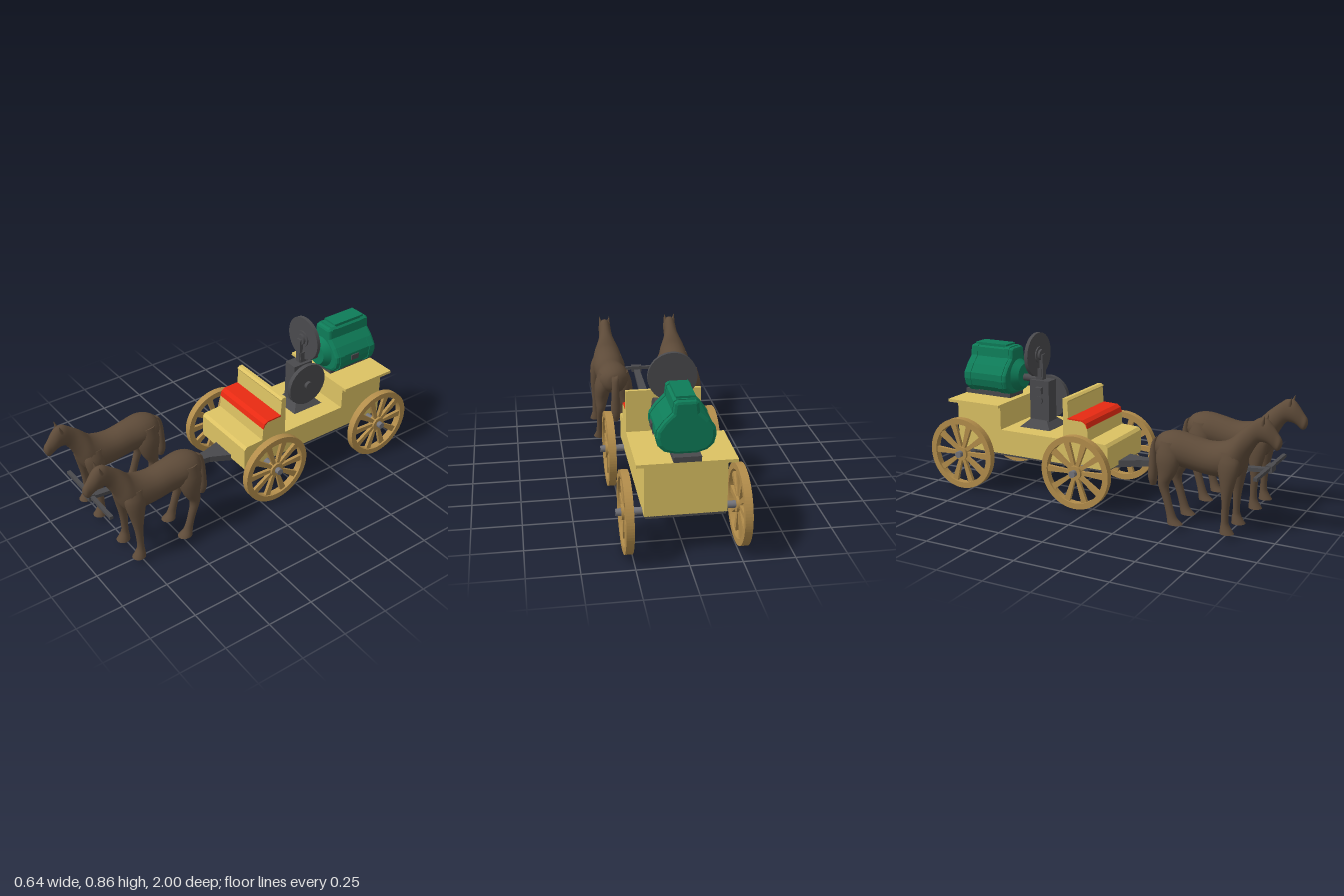
import * as THREE from 'three';

const mat = (name, color) => Object.assign(new THREE.MeshStandardMaterial({ color }), { name });

export function createModel() {
  const root = new THREE.Group();
  const paint = mat('cream paint', 0xdcc263), wood = mat('wheel wood', 0xb38d4b), coat = mat('brown coat', 0x5e4b39);
  const iron = mat('dark iron', 0x4a4a4d), steel = mat('axle steel', 0x74747a);
  const green = mat('motor green', 0x0e7c58), red = mat('seat red', 0xe82a12);

  const add = (name, geo, m, parent = root) => {
    const mesh = new THREE.Mesh(geo, m);
    mesh.name = name;
    parent.add(mesh);
    return mesh;
  };
  // Box from min and max corners
  const box = (name, a, b, m, parent) => {
    const g = new THREE.BoxGeometry(b[0] - a[0], b[1] - a[1], b[2] - a[2]);
    g.translate((a[0] + b[0]) / 2, (a[1] + b[1]) / 2, (a[2] + b[2]) / 2);
    return add(name, g, m, parent);
  };
  // Cylinder along the x or z axis
  const rod = (name, axis, r, len, x, y, z, m, parent, r2 = r) => {
    const g = new THREE.CylinderGeometry(r, r2, len, 40);
    if (axis === 'x') g.rotateZ(-Math.PI / 2);
    else g.rotateX(Math.PI / 2);
    return add(name, g.translate(x, y, z), m, parent);
  };
  const shapeOf = pts => new THREE.Shape(pts.map(p => new THREE.Vector2(...p)));
  // Side profile in (z, y), extruded across x
  const across = (pts, width) => new THREE.ExtrudeGeometry(shapeOf(pts), { depth: width, bevelEnabled: false })
    .rotateY(-Math.PI / 2).translate(width / 2, 0, 0);

  // Smooth loft through elliptic sections: [z1, y1, z2, y2, halfWidth, centreX]
  function loft(rows, sub = 3, n = 20) {
    const c1 = new THREE.CatmullRomCurve3(rows.map(r => new THREE.Vector3(r[5] || 0, r[1], r[0])));
    const c2 = new THREE.CatmullRomCurve3(rows.map(r => new THREE.Vector3(r[4], r[3], r[2])));
    const steps = (rows.length - 1) * sub, pos = [], idx = [];
    for (let k = 0; k <= steps; k++) {
      const a = c1.getPoint(k / steps), b = c2.getPoint(k / steps);
      for (let i = 0; i < n; i++) {
        const t = i / n * Math.PI * 2, c = Math.cos(t) / 2;
        pos.push(a.x + b.x * Math.sin(t), (a.y + b.y) / 2 + (a.y - b.y) * c, (a.z + b.z) / 2 + (a.z - b.z) * c);
        if (k < steps) {
          const p = k * n + i, q = k * n + (i + 1) % n;
          idx.push(p, p + n, q, q, p + n, q + n);
        }
      }
    }
    // End caps with their own rings so the edges stay crisp
    for (const k of [0, steps]) {
      const base = pos.length / 3;
      pos.push(...pos.slice(k * n * 3, (k + 1) * n * 3));
      for (let i = 1; i < n - 1; i++) idx.push(base, base + (k ? i + 1 : i), base + (k ? i : i + 1));
    }
    const g = new THREE.BufferGeometry();
    g.setAttribute('position', new THREE.Float32BufferAttribute(pos, 3));
    g.setIndex(idx);
    g.computeVertexNormals();
    return g;
  }

  // Cart body with footboard, seat and rear box in one side profile
  add('cartBody', across([[0.06, 0.205], [0.06, 0.33], [0.045, 0.345], [-0.055, 0.35], [-0.06, 0.42], [-0.07, 0.441],
    [-0.09, 0.453], [-0.172, 0.455], [-0.178, 0.545], [-0.172, 0.555], [-0.185, 0.565], [-0.205, 0.565], [-0.205, 0.34],
    [-0.6, 0.34], [-0.6, 0.47], [-0.88, 0.47], [-0.88, 0.205]], 0.39), paint);
  add('seatCushion', across([[-0.058, 0.418], [-0.066, 0.445], [-0.088, 0.459], [-0.175, 0.462], [-0.175, 0.454],
    [-0.09, 0.452], [-0.071, 0.44], [-0.062, 0.418]], 0.392), red);
  box('rearDeck', [-0.235, 0.47, -0.915], [0.235, 0.486, -0.585], paint);
  box('underPlate', [-0.19, 0.194, -0.88], [0.19, 0.206, 0.05], iron);

  // Wheels and axles
  function wheel(x, z) {
    const g = new THREE.Group();
    g.name = 'wheel';
    const ring = new THREE.Shape().absarc(0, 0, 0.198, 0, Math.PI * 2, false);
    ring.holes.push(new THREE.Path().absarc(0, 0, 0.166, 0, Math.PI * 2, true));
    add('rim', new THREE.ExtrudeGeometry(ring, { depth: 0.038, bevelEnabled: false, curveSegments: 40 })
      .translate(0, 0, -0.019).rotateY(Math.PI / 2), wood, g);
    const blade = shapeOf([[-0.009, 0.03], [0.009, 0.03], [0.017, 0.17], [-0.017, 0.17]]);
    for (let i = 0; i < 10; i++) {
      add('spoke', new THREE.ExtrudeGeometry(blade, { depth: 0.018, bevelEnabled: false })
        .translate(0, 0, -0.009).rotateZ((i + 0.5) * Math.PI / 5).rotateY(Math.PI / 2), wood, g);
    }
    rod('hub', 'x', 0.038, 0.042, 0, 0, 0, wood, g);
    g.position.set(x, 0.2, z);
    root.add(g);
  }
  for (const z of [-0.085, -0.805]) {
    for (const x of [-0.272, 0.272]) wheel(x, z);
    rod('axle', 'x', 0.018, 0.636, 0, 0.2, z, steel);
    box('axleBeam', [-0.19, 0.178, z - 0.025], [0.19, 0.205, z + 0.025], iron);
  }

  // Draw pole with a flared rear plate and a front crossbar
  const pole = shapeOf([[-0.11, 0], [0.11, 0], [0.07, 0.14], [0.03, 0.25], [0.017, 0.97], [-0.017, 0.97], [-0.03, 0.25], [-0.07, 0.14]]);
  const poleGeo = new THREE.ExtrudeGeometry(pole, { depth: 1, bevelEnabled: false }).rotateX(Math.PI / 2);
  const pp = poleGeo.attributes.position;
  for (let i = 0; i < pp.count; i++) {
    const t = pp.getZ(i) / 0.97, lower = -pp.getY(i);
    pp.setY(i, 0.215 + 0.078 * t - lower * (0.04 - 0.022 * t));
    pp.setZ(i, pp.getZ(i) - 0.08);
  }
  poleGeo.computeVertexNormals();
  add('drawPole', poleGeo, iron);
  box('crossbar', [-0.22, 0.288, 0.866], [0.22, 0.305, 0.886], iron);
  box('crossbarClamp', [-0.03, 0.275, 0.86], [0.03, 0.31, 0.895], iron);

  // Pump: flared foot, casing, side flywheel, crank and large front disc
  const foot = new THREE.CylinderGeometry(0.075, 0.135, 0.04, 4).rotateY(Math.PI / 4).translate(0, 0.36, -0.445).toNonIndexed();
  foot.computeVertexNormals();
  add('pumpFoot', foot, iron);
  box('pumpCasing', [-0.04, 0.37, -0.505], [0.037, 0.6, -0.385], iron);
  box('pumpValve', [-0.065, 0.53, -0.46], [-0.03, 0.565, -0.42], iron);
  rod('sideFlywheel', 'x', 0.12, 0.024, 0.07, 0.49, -0.445, iron);
  rod('flywheelShaft', 'x', 0.022, 0.15, 0.025, 0.49, -0.445, iron);
  box('pumpColumn', [-0.02, 0.59, -0.476], [0.02, 0.66, -0.44], iron);
  rod('frontDisc', 'z', 0.121, 0.02, 0, 0.736, -0.476, iron);
  rod('discCollar', 'z', 0.045, 0.008, 0, 0.736, -0.462, iron);
  rod('discHub', 'z', 0.03, 0.02, 0, 0.736, -0.455, iron);
  box('crankBar', [-0.015, 0.57, -0.455], [0.015, 0.74, -0.435], iron);

  // Electric motor, mirrored cross-section
  const half = [[0.05, 0.505], [0.1, 0.52], [0.13, 0.55], [0.14, 0.59], [0.137, 0.625], [0.105, 0.67], [0.064, 0.71], [0.058, 0.76], [0.045, 0.77]];
  const outline = [...half, ...half.map(([x, y]) => [-x, y]).reverse()];
  const motor = (s, depth, z, bevel) => new THREE.ExtrudeGeometry(
    shapeOf(outline.map(([x, y]) => [x * s, 0.625 + (y - 0.625) * s])),
    { depth, bevelEnabled: bevel > 0, bevelThickness: bevel, bevelSize: bevel, bevelOffset: -bevel, bevelSegments: 2 }).translate(0, 0, z);
  add('motorHousing', motor(0.97, 0.25, -0.865, 0.015), green);
  add('motorBand', motor(1, 0.03, -0.86, 0), green);
  add('motorBand', motor(1, 0.03, -0.655, 0), green);
  rod('motorNose', 'z', 0.065, 0.04, 0, 0.61, -0.582, green, root, 0.09);
  box('motorLid', [-0.045, 0.76, -0.85], [0.045, 0.78, -0.65], green);
  rod('motorShaft', 'z', 0.02, 0.14, 0, 0.6, -0.53, iron);
  box('motorBase', [-0.065, 0.486, -0.915], [0.065, 0.512, -0.62], iron);
  box('motorPlate', [0.136, 0.585, -0.75], [0.143, 0.615, -0.7], iron);

  // Horses: trunk with neck and head, legs, tail and ears
  const trunk = loft([[0.352, 0.42, 0.35, 0.4, 0.012], [0.362, 0.45, 0.355, 0.36, 0.045], [0.4, 0.474, 0.385, 0.33, 0.08],
    [0.46, 0.483, 0.45, 0.312, 0.092], [0.54, 0.472, 0.54, 0.298, 0.083], [0.63, 0.455, 0.63, 0.286, 0.084],
    [0.7, 0.463, 0.715, 0.284, 0.09], [0.745, 0.485, 0.785, 0.292, 0.088], [0.77, 0.51, 0.815, 0.335, 0.077],
    [0.795, 0.535, 0.835, 0.395, 0.058], [0.825, 0.56, 0.86, 0.445, 0.042], [0.855, 0.584, 0.888, 0.485, 0.036],
    [0.885, 0.605, 0.912, 0.487, 0.036], [0.922, 0.603, 0.932, 0.482, 0.035], [0.952, 0.572, 0.952, 0.47, 0.029],
    [0.976, 0.54, 0.965, 0.458, 0.023], [0.994, 0.515, 0.977, 0.455, 0.022], [0.999, 0.492, 0.988, 0.462, 0.013]]);
  const tail = loft([[0.385, 0.465, 0.37, 0.44, 0.012], [0.36, 0.44, 0.335, 0.43, 0.018], [0.35, 0.38, 0.315, 0.38, 0.02],
    [0.352, 0.3, 0.307, 0.3, 0.025], [0.352, 0.22, 0.305, 0.22, 0.027], [0.345, 0.182, 0.315, 0.182, 0.014]]);
  const legs = [
    [[0.43, 0.8, 0.7, 0.05, 0.03], [0.37, 0.815, 0.7, 0.062, 0.04], [0.27, 0.795, 0.722, 0.072, 0.033],
      [0.2, 0.78, 0.733, 0.076, 0.024], [0.13, 0.772, 0.735, 0.077, 0.019], [0.08, 0.772, 0.735, 0.078, 0.02],
      [0.055, 0.782, 0.732, 0.078, 0.025], [0.025, 0.802, 0.73, 0.078, 0.034]],
    [[0.44, 0.49, 0.39, 0.045, 0.04], [0.36, 0.505, 0.375, 0.06, 0.048], [0.28, 0.485, 0.392, 0.07, 0.037],
      [0.22, 0.452, 0.395, 0.076, 0.025], [0.15, 0.465, 0.422, 0.079, 0.02], [0.08, 0.487, 0.442, 0.08, 0.02],
      [0.05, 0.502, 0.448, 0.08, 0.025], [0.025, 0.53, 0.452, 0.08, 0.034]]];
  for (const x of [-0.208, 0.19]) {
    const horse = new THREE.Group();
    horse.name = 'horse';
    add('horseBody', trunk, coat, horse);
    add('tail', tail, coat, horse);
    for (const s of [-1, 1]) {
      legs.forEach((rows, i) => add(i ? 'hindLeg' : 'frontLeg',
        loft(rows.map(([y, front, back, cx, w]) => [front, y, back, y, w, cx * s]), 3, 16), coat, horse));
      const ear = add('ear', new THREE.ConeGeometry(0.013, 0.05, 10), coat, horse);
      ear.position.set(0.026 * s, 0.6, 0.912);
      ear.rotation.set(0.25, 0, -0.18 * s);
    }
    horse.position.x = x;
    root.add(horse);
  }
  return root;
}
